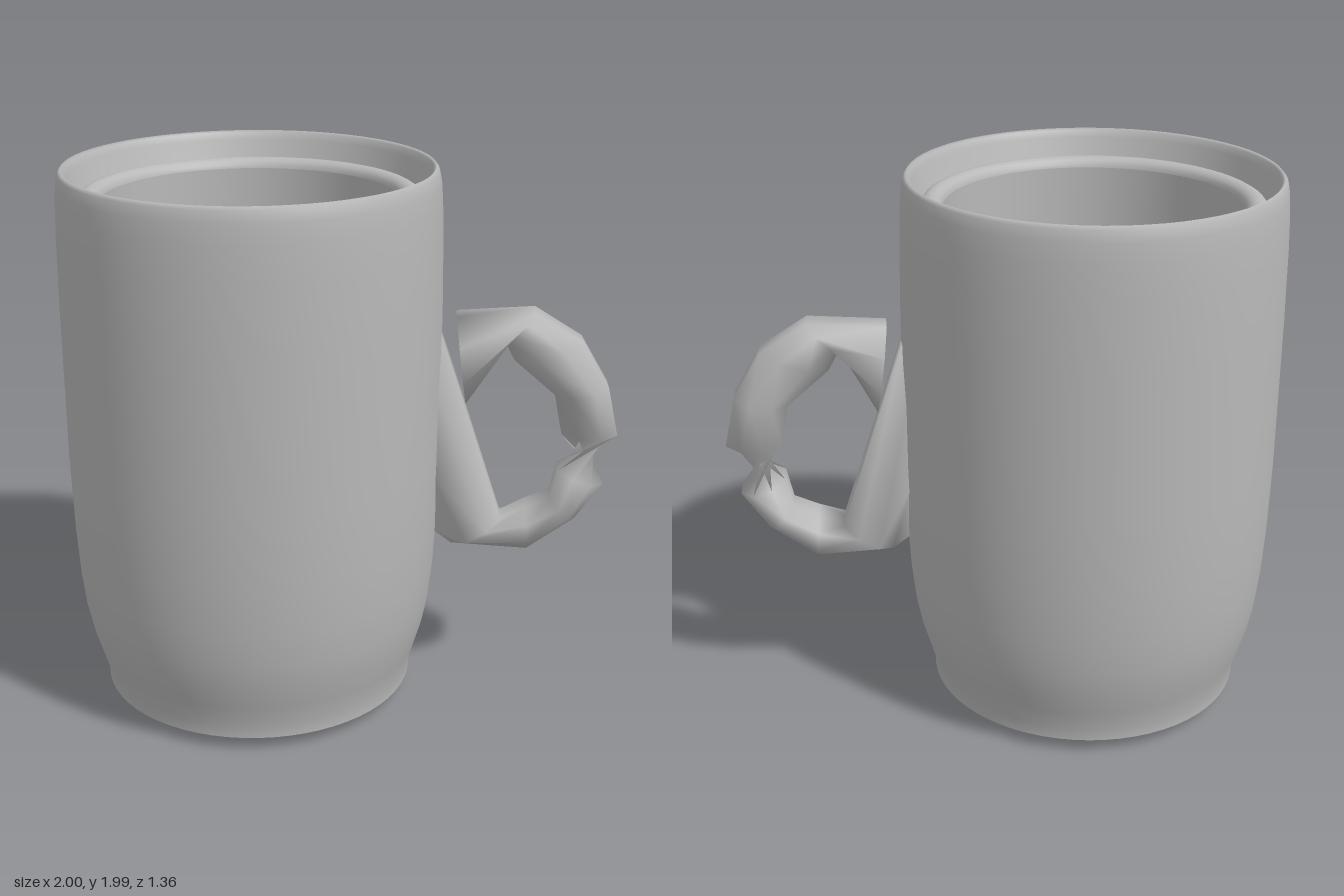
import * as THREE from 'three';

const grey = new THREE.MeshStandardMaterial({ color: 0xb8b8b8 });
grey.name = 'ceramic grey';
grey.side = THREE.DoubleSide;

// Lathe around the mug axis; the profile runs so that faces point outward
function turned(name, profile) {
  const geometry = new THREE.LatheGeometry(profile.map(([r, y]) => new THREE.Vector2(r, y)), 64);
  const mesh = new THREE.Mesh(geometry, grey);
  mesh.name = name;
  mesh.position.x = -0.32;
  return mesh;
}

// Loft of eight-sided sections, each given by outer and inner points in the xy plane
function loft(sections, twistAt) {
  const sides = 8, half = 0.11, positions = [], index = [];
  sections.forEach(([ox, oy, ix, iy], s) => {
    for (let k = 0; k < sides; k++) {
      // wide rounded section: chamfered corners, flat sides
      const a = (k + 0.5) / sides * Math.PI * 2 + (s >= twistAt ? Math.PI : 0);
      const t = Math.cos(a) / Math.cos(Math.PI / 8) / 2;
      const w = Math.sin(a) / Math.cos(Math.PI / 8);
      positions.push((ox + ix) / 2 + (ox - ix) * t, (oy + iy) / 2 + (oy - iy) * t, half * w);
    }
  });
  for (let s = 0; s < sections.length - 1; s++) {
    for (let k = 0; k < sides; k++) {
      const a = s * sides + k, b = s * sides + (k + 1) % sides;
      index.push(a, b, a + sides, b, b + sides, a + sides);
    }
  }
  // end caps
  const last = (sections.length - 1) * sides;
  for (let k = 1; k < sides - 1; k++) {
    index.push(0, k + 1, k, last, last + k, last + k + 1);
  }
  const geometry = new THREE.BufferGeometry();
  geometry.setAttribute('position', new THREE.Float32BufferAttribute(positions, 3));
  geometry.setIndex(index);
  geometry.computeVertexNormals();
  return geometry;
}

export function createModel() {
  const mug = new THREE.Group();
  mug.name = 'mug';

  // Outer wall, narrowing to the base and rounding over the rim
  mug.add(turned('outerWall', [
    [0.578, 0.05], [0.58, 0.1], [0.603, 0.18], [0.63, 0.27], [0.65, 0.37], [0.664, 0.5],
    [0.674, 0.68], [0.68, 0.95], [0.68, 1.5], [0.677, 1.75], [0.673, 1.87], [0.668, 1.94],
    [0.66, 1.98], [0.65, 1.992], [0.64, 1.985], [0.632, 1.96], [0.618, 1.91], [0.605, 1.87],
  ]));

  // Rounded bead just inside the rim
  const bead = [];
  for (let i = 0; i <= 8; i++) {
    const a = i / 8 * Math.PI;
    bead.push([0.565 + 0.04 * Math.cos(a), 1.87 + 0.035 * Math.sin(a)]);
  }
  mug.add(turned('innerBead', bead));

  // Hollow interior
  mug.add(turned('innerWall', [[0.525, 1.87], [0.525, 0.3], [0.515, 0.14]]));
  mug.add(turned('innerFloor', [[0.515, 0.14], [0, 0.14]]));

  // Underside and foot
  mug.add(turned('underside', [[0.4, 0.045], [0.578, 0.05]]));
  mug.add(turned('footSide', [[0.42, 0], [0.43, 0.01], [0.432, 0.03], [0.425, 0.05]]));
  mug.add(turned('footBottom', [[0, 0], [0.42, 0]]));

  // Handle: upper arc, crossed pinch, lower arc, then a tapering strut to the wall
  const handle = new THREE.Mesh(loft([
    [0.41, 1.465, 0.45, 1.14],
    [0.69, 1.485, 0.58, 1.385],
    [0.86, 1.38, 0.62, 1.31],
    [0.96, 1.21, 0.77, 1.18],
    [1.0, 1.03, 0.8, 1.03],
    [0.957, 0.84, 0.795, 0.89],
    [0.86, 0.7, 0.77, 0.78],
    [0.69, 0.575, 0.68, 0.74],
    [0.41, 0.59, 0.59, 0.69],
    [0.33, 0.65, 0.345, 1.44],
  ], 5), grey);
  handle.name = 'handle';
  mug.add(handle);

  return mug;
}
